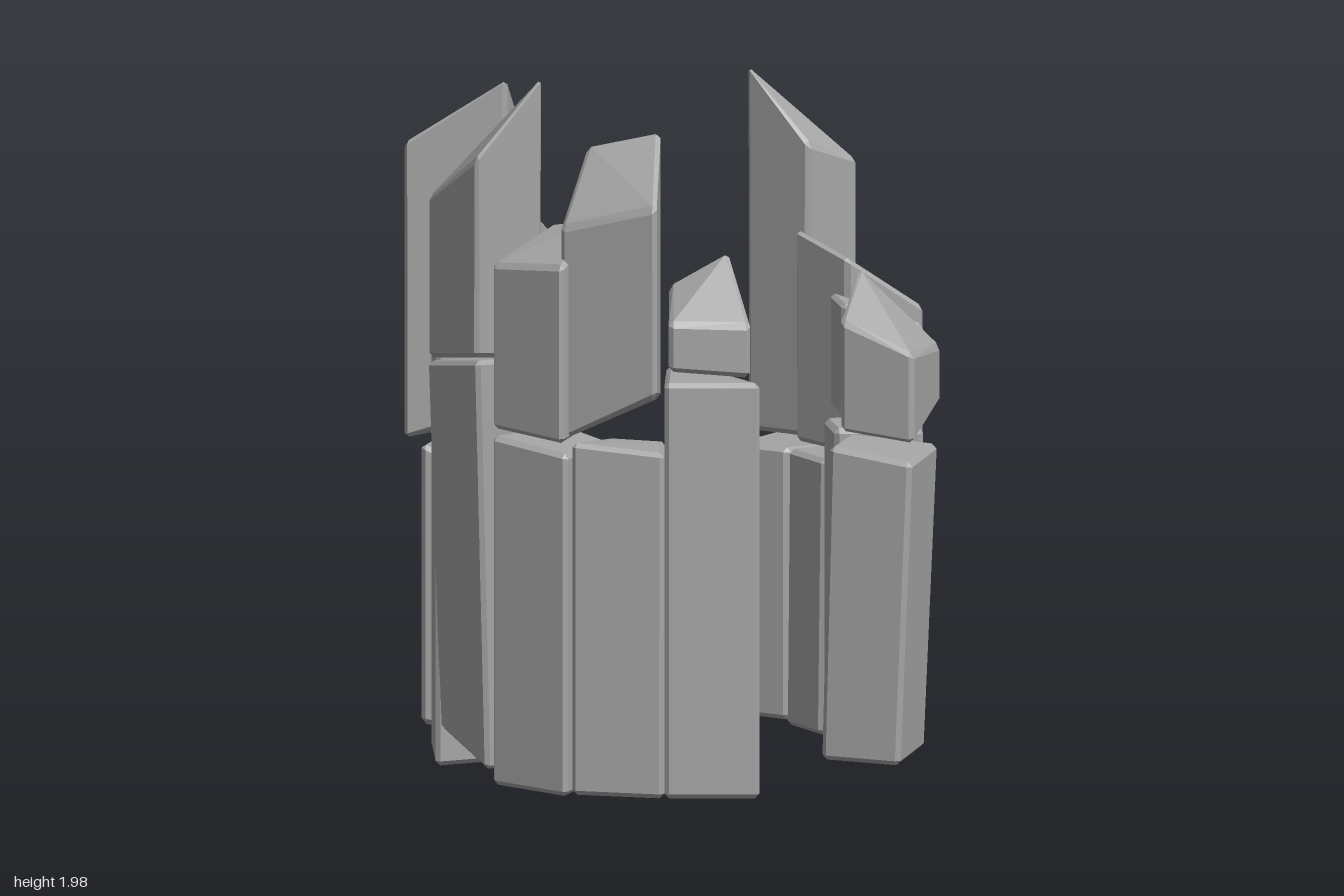
import * as THREE from 'three';
import { ConvexGeometry } from 'three/addons/geometries/ConvexGeometry.js';

const BEVEL = 0.014;

// Bevelled wedge stone. Corners run outer start, outer end, inner end, inner start;
// angles in degrees from the front towards +x, radii / bottom / top heights per corner.
function wedgeGeometry(a0, a1, radii, bottoms, tops, footScale) {
  const angles = [a0, a1, a1, a0].map(THREE.MathUtils.degToRad);
  const ring = (heights, scale) => angles.map((a, i) => new THREE.Vector3(
    Math.sin(a) * radii[i] * scale, heights[i], Math.cos(a) * radii[i] * scale));
  const rings = [ring(bottoms, footScale), ring(tops, 1)];
  const points = [];
  for (let level = 0; level < 2; level++) {
    for (let i = 0; i < 4; i++) {
      const p = rings[level][i];
      const steps = [rings[level][(i + 1) % 4], rings[level][(i + 3) % 4], rings[1 - level][i]]
        .map((q) => q.clone().sub(p).setLength(BEVEL));
      // one point inset on each of the three faces meeting at this corner
      for (let k = 0; k < 3; k++) {
        points.push(p.clone().add(steps[k]).add(steps[(k + 1) % 3]));
      }
    }
  }
  return new ConvexGeometry(points);
}

export function createModel() {
  const group = new THREE.Group();
  group.name = 'ruinedStoneRing';
  const stone = new THREE.MeshStandardMaterial({ color: 0xa6a6a6, flatShading: true });
  stone.name = 'grey stone';

  const four = (v) => (Array.isArray(v) ? v : [v, v, v, v]);
  const add = (name, a0, a1, radii, bottoms, tops, footScale = 1) => {
    const mesh = new THREE.Mesh(
      wedgeGeometry(a0, a1, radii, four(bottoms), four(tops), footScale), stone);
    mesh.name = name;
    group.add(mesh);
  };

  // Front arc, from the -x end round to the +x end
  add('lowerStone1', -91.5, -71, [0.69, 0.70, 0.42, 0.41], 0.01, [0.84, 0.84, 0.90, 0.88]);
  add('upperStone1', -91.5, -71, [0.69, 0.70, 0.47, 0.46], [0.92, 0.95, 0.95, 0.95], [1.38, 1.40, 1.55, 1.40]);
  add('lowerStone2', -71, -45, [0.72, 0.70, 0.43, 0.42], [0.01, 0.08, 0.02, 0.01], [0.85, 0.88, 0.75, 0.73]);
  add('upperStone2', -71, -45, [0.71, 0.75, 0.46, 0.45], [0.93, 0.89, 0.98, 0.92], [1.68, 1.74, 1.93, 1.70]);
  add('lowerStone3', -45, -22.5, [0.67, 0.71, 0.43, 0.43], 0.01, [1.00, 1.02, 0.98, 0.98]);
  add('upperStone3', -45, -22.5, [0.67, 0.71, 0.48, 0.46], [1.00, 1.04, 1.00, 1.00], [1.48, 1.55, 1.60, 1.56]);
  add('lowerStone4', -24, 0.7, [0.73, 0.77, 0.44, 0.43], [0.12, 0.05, 0.03, 0.05], [1.17, 1.23, 1.20, 1.17], 0.95);
  add('upperStone4', -23.5, 0.8, [0.73, 0.775, 0.51, 0.50], [1.18, 1.24, 1.20, 1.18], [1.64, 1.81, 2.01, 1.77]);
  add('lowerStone5', 1, 22.5, [0.72, 0.75, 0.44, 0.43], 0.01, [1.01, 0.99, 0.97, 1.00]);
  add('upperStone5', 1, 22, [0.72, 0.76, 0.48, 0.47], [1.03, 1.02, 1.04, 1.03], [1.50, 1.53, 1.62, 1.58]);
  add('lowerStone6', 22.5, 44, [0.72, 0.72, 0.45, 0.44], 0.01, [1.02, 1.00, 0.98, 0.98]);
  add('upperStone6', 20, 42.5, [0.72, 0.765, 0.535, 0.54], [1.02, 1.17, 1.12, 1.05], [1.63, 1.71, 1.89, 1.84]);
  add('lowerStone7', 44, 65, [0.72, 0.76, 0.47, 0.45], 0.01, [1.20, 1.20, 1.17, 1.20]);
  add('upperStone7', 45, 63.5, [0.71, 0.73, 0.52, 0.50], [1.23, 1.21, 1.20, 1.23], [1.37, 1.36, 1.54, 1.44]);

  // Back arc, from the +x end round to the back
  add('lowerStone8', 113, 136, [0.73, 0.75, 0.50, 0.48], 0.01, [0.88, 0.88, 0.91, 0.91], 0.95);
  add('upperStone8', 114, 136, [0.73, 0.757, 0.53, 0.51], [0.93, 1.00, 1.00, 0.95], [1.19, 1.16, 1.39, 1.27]);
  add('lowerStone9', 136, 156.5, [0.71, 0.72, 0.46, 0.46], [0.08, 0.11, 0.10, 0.08], 0.92);
  add('upperStone9', 136, 157, [0.71, 0.72, 0.48, 0.48], 0.95, [1.22, 1.18, 1.28, 1.28]);
  add('lowerStone10', 156.5, 180, [0.75, 0.75, 0.46, 0.46], 0.01, [0.78, 0.78, 0.80, 0.80], 0.98);
  add('upperStone10', 153.5, 179.3, [0.75, 0.775, 0.48, 0.52], [0.80, 0.79, 0.82, 0.82], [1.22, 1.25, 1.43, 1.38]);
  add('lowerStone11', 180, 201.5, [0.72, 0.72, 0.45, 0.46], 0.02, [0.78, 0.78, 0.80, 0.80]);
  add('upperStone11', 176.5, 201.5, [0.70, 0.725, 0.53, 0.51], [0.82, 0.80, 0.82, 0.83], [1.60, 1.64, 1.87, 1.67]);

  return group;
}
